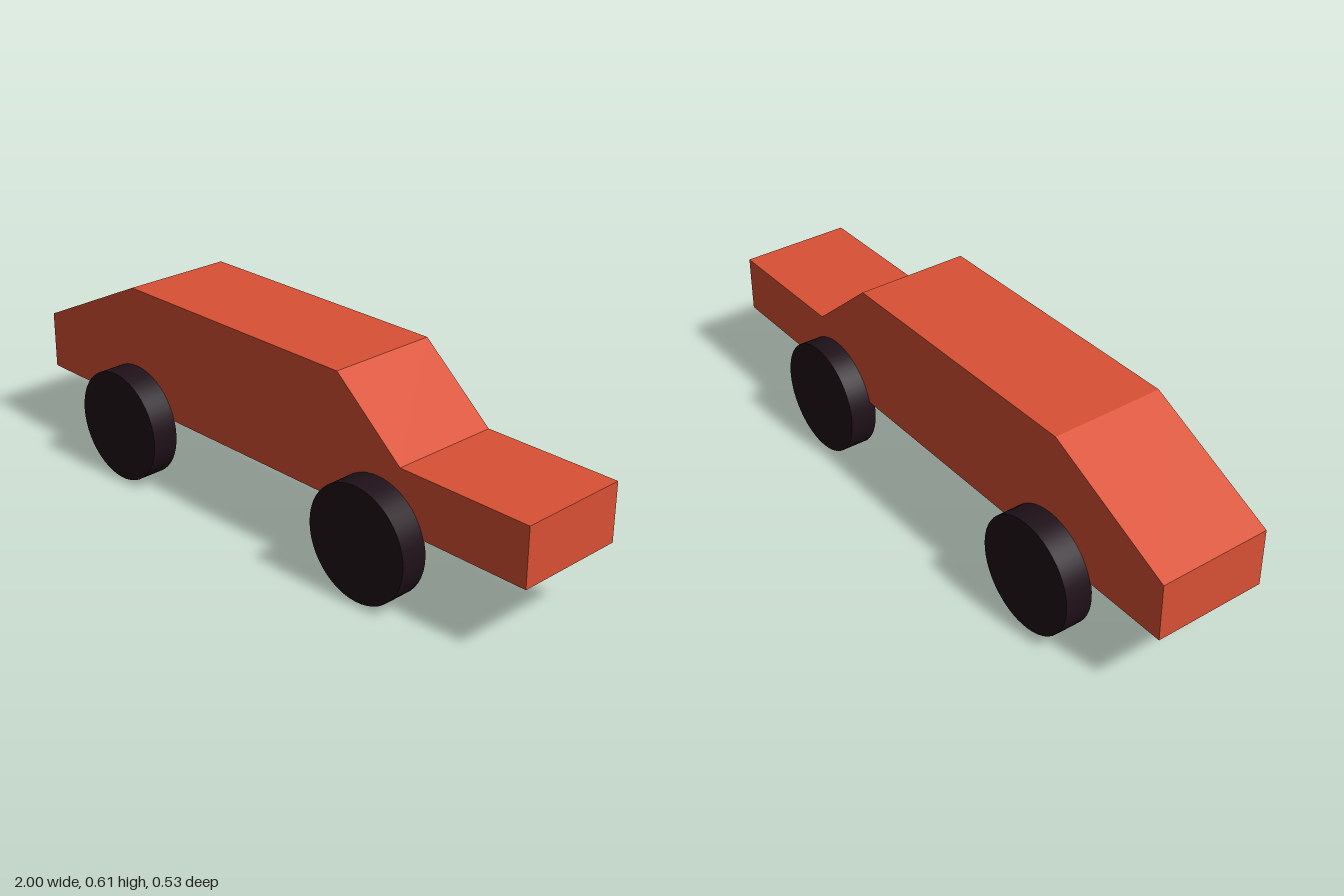
import * as THREE from 'three';

export function createModel() {
  const car = new THREE.Group();
  car.name = 'car';
  const paint = new THREE.MeshStandardMaterial({ color: 0xd95034, flatShading: true });
  const rubber = new THREE.MeshStandardMaterial({ color: 0x1f1119 });

  // Body: side profile extruded across the width
  const profile = [[-1, 0.227], [1, 0.229], [1, 0.411], [0.56, 0.411], [0.32, 0.614], [-0.57, 0.613], [-1, 0.41]];
  const shape = new THREE.Shape(profile.map(([x, y]) => new THREE.Vector2(x, y)));
  const width = 0.356;
  const bodyGeometry = new THREE.ExtrudeGeometry(shape, { depth: width, bevelEnabled: false });
  bodyGeometry.translate(0, 0, -width / 2);
  const body = new THREE.Mesh(bodyGeometry, paint);
  body.name = 'body';
  car.add(body);

  // Wheels: plain discs, leaning very slightly
  const radius = 0.178;
  const wheelGeometry = new THREE.CylinderGeometry(radius, radius, 0.086, 48);
  wheelGeometry.rotateX(Math.PI / 2);
  const wheels = [
    ['frontLeftWheel', 0.48, 0.218],
    ['frontRightWheel', 0.48, -0.206],
    ['rearLeftWheel', -0.56, 0.219],
    ['rearRightWheel', -0.56, -0.219],
  ];
  for (const [name, x, z] of wheels) {
    const wheel = new THREE.Mesh(wheelGeometry, rubber);
    wheel.name = name;
    wheel.position.set(x, radius + 0.002, z);
    wheel.rotation.x = 0.013;
    car.add(wheel);
  }
  return car;
}
